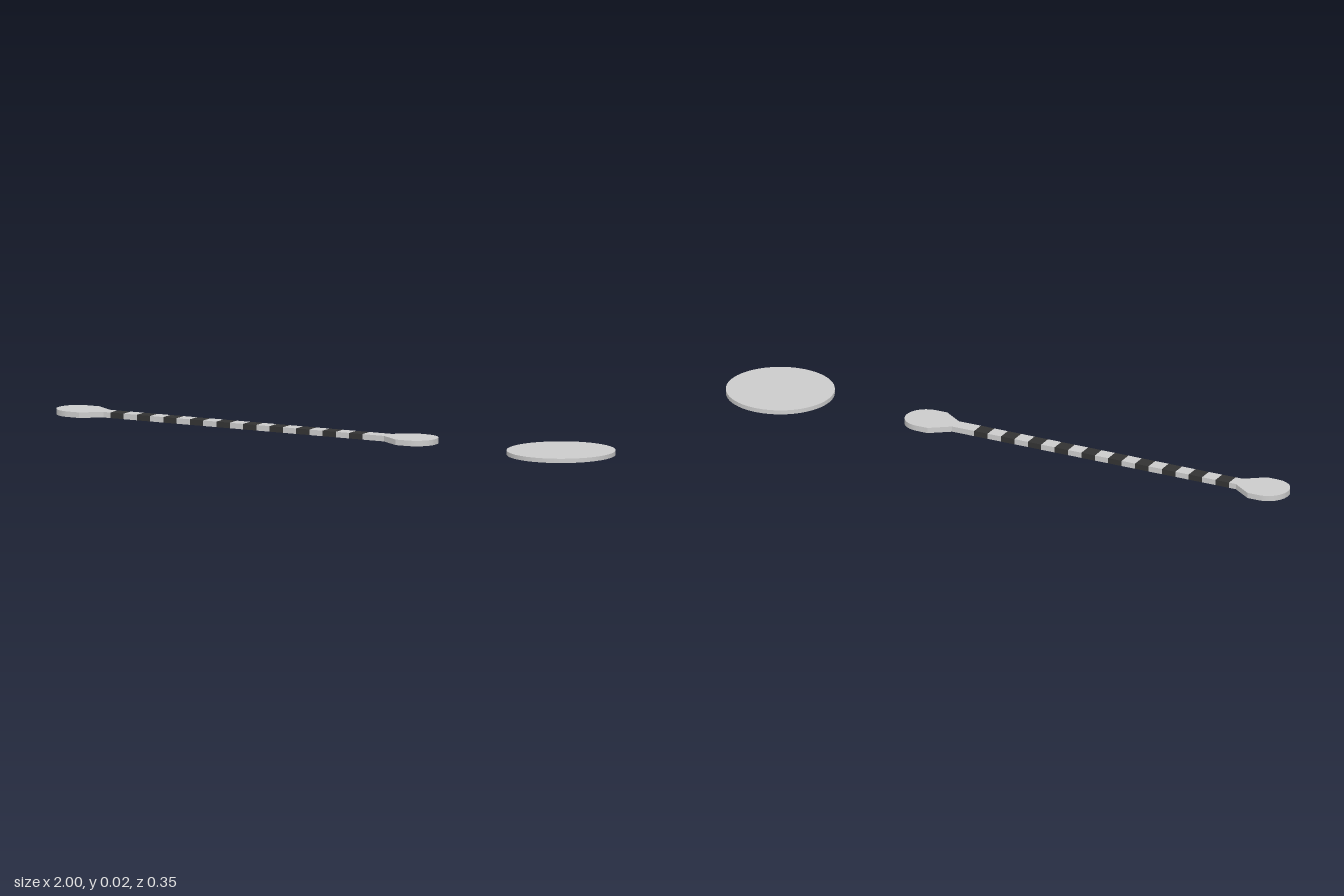
import * as THREE from 'three';
import { toCreasedNormals } from 'three/addons/utils/BufferGeometryUtils.js';

const H = 0.018;          // stick thickness
const HALF = 0.024;       // shaft half width
const MID = -0.315;       // stick centre along x
const END = 0.685;        // half length of the stick
const START = -0.8;       // first dark band
const BAND = 0.0482;      // band length
const BANDS = 19;         // dark and light bands, alternating

export function createModel() {
  const model = new THREE.Group();
  const grey = new THREE.MeshStandardMaterial({ color: 0xcccccc });
  const dark = new THREE.MeshStandardMaterial({ color: 0x333333 });
  const add = (parent, name, geometry, material, x = 0, y = 0) => {
    const mesh = new THREE.Mesh(geometry, material);
    mesh.name = name;
    mesh.position.set(x, y, 0);
    parent.add(mesh);
  };

  const stick = new THREE.Group();
  stick.name = 'stick';
  model.add(stick);

  // Rounded paddle with a tapered neck; side is -1 or 1, inner is where the bands begin
  const paddle = (side, inner) => {
    const r = 0.07;
    const X = (d) => MID + side * d;
    const cx = END - r;
    const shape = new THREE.Shape();
    shape.moveTo(inner, -HALF);
    shape.lineTo(X(0.51), -HALF);
    shape.lineTo(X(0.575), -r);
    for (let i = 0; i <= 24; i++) {
      const a = -Math.PI / 2 + (Math.PI * i) / 24;
      shape.lineTo(X(cx + r * Math.cos(a)), r * Math.sin(a));
    }
    shape.lineTo(X(0.575), r);
    shape.lineTo(X(0.51), HALF);
    shape.lineTo(inner, HALF);
    shape.closePath();
    const geometry = new THREE.ExtrudeGeometry(shape, { depth: H, bevelEnabled: false });
    geometry.rotateX(-Math.PI / 2);
    return toCreasedNormals(geometry, 0.4);
  };
  add(stick, 'rightPaddle', paddle(-1, START), grey);
  add(stick, 'leftPaddle', paddle(1, START + BANDS * BAND), grey);

  // Striped shaft
  const band = new THREE.BoxGeometry(BAND, H, 2 * HALF);
  for (let i = 0; i < BANDS; i++) {
    const isDark = i % 2 === 0;
    add(stick, isDark ? 'darkBand' : 'lightBand', band, isDark ? dark : grey, START + (i + 0.5) * BAND, H / 2);
  }

  // Separate flat disc
  add(model, 'disc', new THREE.CylinderGeometry(0.175, 0.175, 0.014, 64), grey, 0.825, 0.01);

  return model;
}
